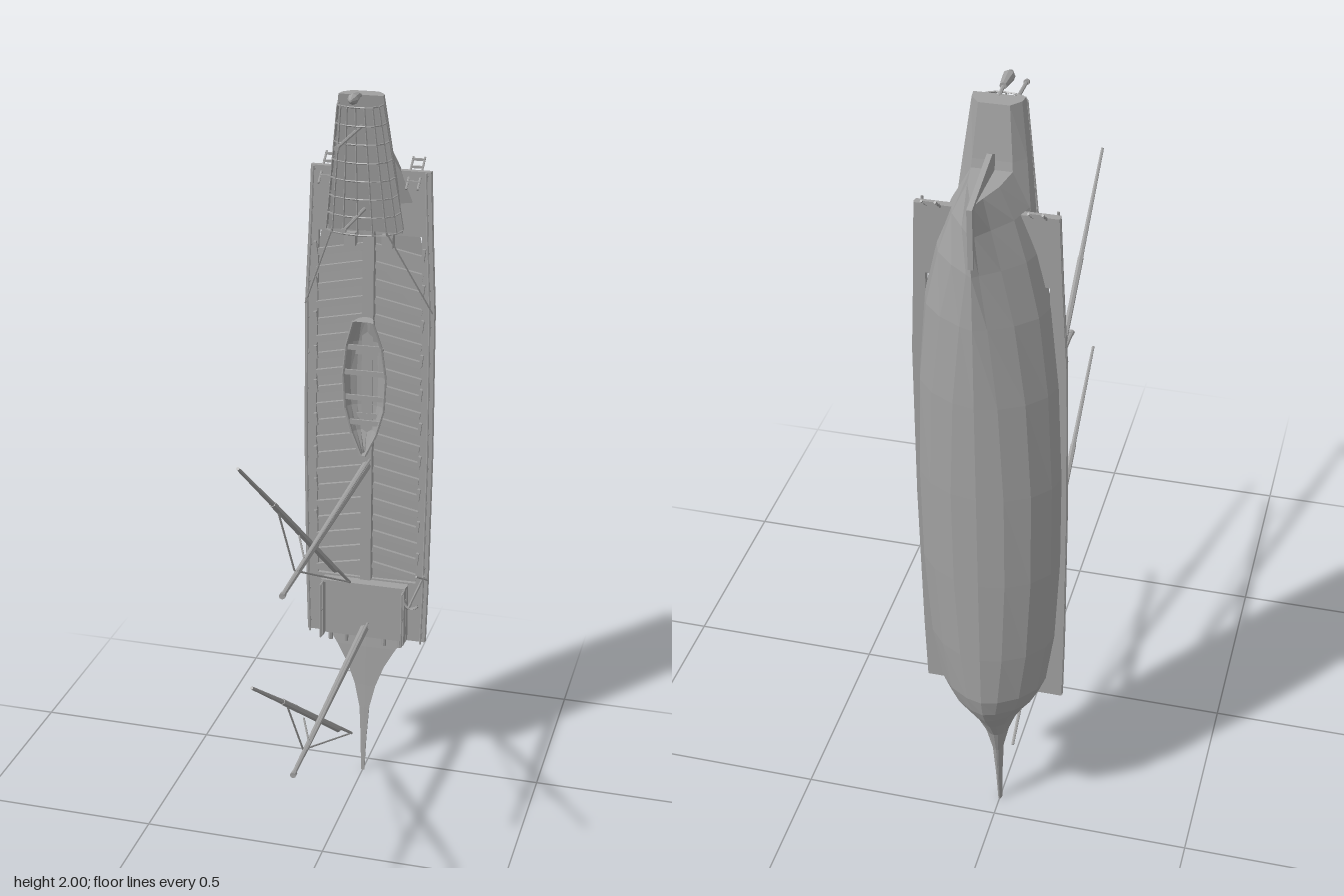
import * as THREE from 'three';

const grey = new THREE.MeshStandardMaterial({ color: 0xa0a0a0, flatShading: true, side: THREE.DoubleSide });
grey.name = 'weatheredGrey';

function add(group, geometry, name) {
  const m = new THREE.Mesh(geometry, grey);
  m.name = name;
  group.add(m);
  return m;
}

function box(group, name, w, h, d, x, y, z, tilt = 0) {
  const m = add(group, new THREE.BoxGeometry(w, h, d), name);
  m.position.set(x, y, z);
  m.rotation.z = tilt;
  return m;
}

// Round bar between two points
function rod(group, name, a, b, r0, r1 = r0, sides = 6) {
  const p = new THREE.Vector3(...a), q = new THREE.Vector3(...b);
  const d = q.clone().sub(p);
  const m = add(group, new THREE.CylinderGeometry(r1, r0, d.length(), sides), name);
  m.position.copy(p).add(q).multiplyScalar(0.5);
  m.quaternion.setFromUnitVectors(new THREE.Vector3(0, 1, 0), d.normalize());
  return m;
}

// Capped skin over equal-length rings of points; closed joins each ring end to start
function loft(rings, closed) {
  const n = rings[0].length, last = rings.length - 1, idx = [];
  const at = (i, j) => i * n + (j % n);
  for (let i = 0; i < last; i++)
    for (let j = 0; j < (closed ? n : n - 1); j++)
      idx.push(at(i, j), at(i, j + 1), at(i + 1, j), at(i + 1, j), at(i, j + 1), at(i + 1, j + 1));
  for (let j = 1; j < n - 1; j++)
    idx.push(at(0, 0), at(0, j + 1), at(0, j), at(last, 0), at(last, j), at(last, j + 1));
  const g = new THREE.BufferGeometry();
  g.setAttribute('position', new THREE.Float32BufferAttribute(rings.flat(2), 3));
  g.setIndex(idx);
  g.computeVertexNormals();
  return g;
}

// Bowl-shaped cross-section from +x rim round the keel to -x rim
function bowl([y, w, top, keel, p], steps = 8) {
  return Array.from({ length: steps + 1 }, (_, i) => {
    const t = Math.PI * i / steps, c = Math.cos(t);
    return [w * Math.sign(c) * Math.abs(c) ** p, y, top + (keel - top) * Math.sin(t)];
  });
}

function buildHull(g) {
  // y, half width, deck z, keel z, hollowness
  const rows = [
    [0, 0.005, -0.436, -0.448, 1], [0.1, 0.008, -0.441, -0.46, 1], [0.2, 0.014, -0.448, -0.472, 1],
    [0.27, 0.03, -0.455, -0.49, 1.2], [0.33, 0.052, -0.46, -0.525, 1.4], [0.39, 0.085, -0.465, -0.568, 1.5],
    [0.43, 0.112, -0.47, -0.588, 1.4], [0.48, 0.132, -0.47, -0.6, 1.3], [0.62, 0.153, -0.47, -0.602, 1.15],
    [0.85, 0.166, -0.47, -0.603, 1.05], [1.1, 0.168, -0.47, -0.603, 1.05], [1.35, 0.16, -0.47, -0.603, 1.2],
    [1.55, 0.142, -0.47, -0.602, 1.6], [1.68, 0.115, -0.46, -0.601, 2.2], [1.77, 0.085, -0.44, -0.6, 2.9],
    [1.84, 0.045, -0.425, -0.6, 3.3],
  ];
  add(g, loft(rows.map(r => [...bowl(r), [0, r[0], r[2] + r[1] * 0.03]]), true), 'hull');

  // Stern post fin
  const fin = new THREE.Shape([[0.42, 1.74], [0.603, 1.7], [0.603, 1.84], [0.44, 1.885], [0.41, 1.87]]
    .map(p => new THREE.Vector2(...p)));
  const m = add(g, new THREE.ExtrudeGeometry(fin, { depth: 0.012, bevelEnabled: false }), 'sternPost');
  m.rotation.y = Math.PI / 2;
  m.position.x = -0.006;
}

const side = [[0.17, 0.43], [0.174, 0.6], [0.178, 1.0], [0.175, 1.4], [0.165, 1.6], [0.158, 1.77]];

// Half width of the outrigger at a given height
function sideX(y) {
  const i = Math.max(1, side.findIndex(p => p[1] >= y));
  const [a, b] = [side[i - 1], side[i]];
  return a[0] + (b[0] - a[0]) * (y - a[1]) / (b[1] - a[1]);
}

function buildDeck(g) {
  // Outrigger frame along both sides
  const v = (x, y) => new THREE.Vector2(x, y);
  const frame = new THREE.Shape([...side.map(p => v(...p)), ...side.slice().reverse().map(([x, y]) => v(-x, y))]);
  frame.holes.push(new THREE.Path([v(0.14, 0.61), v(-0.14, 0.61), v(-0.146, 1.1), v(-0.138, 1.6), v(0.138, 1.6), v(0.146, 1.1)]));
  add(g, new THREE.ExtrudeGeometry(frame, { depth: 0.018, bevelEnabled: false }), 'outriggerFrame').position.z = -0.476;

  box(g, 'gangway', 0.03, 1.0, 0.022, 0, 1.11, -0.454);
  for (const s of [-1, 1]) {
    // Slanted rowing benches and oar blocks
    for (let i = 0; i < 20; i++) {
      const y = 0.64 + i * 0.048;
      box(g, 'bench', 0.13, 0.018, 0.01, s * 0.079, y, -0.461, -s * 0.2);
      if (i % 2) box(g, 'oarBlock', 0.008, 0.035, 0.012, s * 0.144, y, -0.455, -s * 0.12);
    }
    // Bulwark and rail
    for (let i = 0; i < 5; i++) {
      const [a, b] = [side[i], side[i + 1]];
      rod(g, 'sideRail', [s * (a[0] - 0.01), a[1], -0.445], [s * (b[0] - 0.01), b[1], -0.445], 0.003);
      rod(g, 'sideStrake', [s * (a[0] - 0.003), a[1], -0.468], [s * (b[0] - 0.003), b[1], -0.468], 0.005);
    }
    for (let y = 0.46; y < 1.77; y += 0.1)
      rod(g, 'railPost', [s * (sideX(y) - 0.01), y, -0.46], [s * (sideX(y) - 0.01), y, -0.445], 0.003);

    // Boarding ladders at the stern quarters
    for (const x of [0.1, 0.13]) rod(g, 'ladderSide', [s * x, 1.73, -0.43], [s * x, 1.795, -0.51], 0.003);
    for (let i = 0; i < 4; i++)
      box(g, 'ladderStep', 0.034, 0.006, 0.006, s * 0.115, 1.745 + i * 0.015, -0.448 - i * 0.0185);
    box(g, 'deckStair', 0.03, 0.035, 0.03, s * 0.05, 1.585, -0.455);
  }
}

function buildForecastle(g) {
  box(g, 'forecastleDeck', 0.24, 0.17, 0.03, 0, 0.52, -0.452);
  for (const s of [-1, 1]) {
    box(g, 'forecastleWall', 0.006, 0.17, 0.025, s * 0.116, 0.52, -0.425);
    for (const y of [0.44, 0.52, 0.6]) rod(g, 'forecastlePost', [s * 0.116, y, -0.43], [s * 0.116, y, -0.395], 0.003);
    rod(g, 'forecastleRail', [s * 0.116, 0.44, -0.397], [s * 0.116, 0.6, -0.397], 0.003);
    for (const x of [0.055, 0.1]) rod(g, 'bowGun', [s * x, 0.46, -0.448], [s * x, 0.41, -0.448], 0.008, 0.006, 8);
  }
  box(g, 'forecastleBeam', 0.24, 0.008, 0.02, 0, 0.605, -0.427);
  // Anchor on the port side
  rod(g, 'anchorShank', [0.13, 0.55, -0.42], [0.17, 0.65, -0.43], 0.004);
  rod(g, 'anchorStock', [0.155, 0.66, -0.4], [0.175, 0.63, -0.45], 0.003);
  const hook = add(g, new THREE.TorusGeometry(0.02, 0.004, 5, 10, Math.PI), 'anchorArms');
  hook.position.set(0.138, 0.57, -0.42);
  hook.rotation.z = Math.PI - 0.38;
}

function buildStern(g) {
  // Tub-shaped poop: y, half width, rim z, floor z
  const rows = [[1.62, 0.098, -0.41, -0.465], [1.75, 0.086, -0.388, -0.445], [1.86, 0.073, -0.37, -0.42], [1.98, 0.057, -0.352, -0.4]];
  add(g, loft(rows.map(([y, w, t, b]) =>
    [[w, y, t], [w * 0.95, y, (t + b) / 2], [w * 0.6, y, b], [-w * 0.6, y, b], [-w * 0.95, y, (t + b) / 2], [-w, y, t]]), true), 'poop');

  // Arched awning lattice
  const arch = (y, j) => {
    const k = (y - 1.63) / 0.33, t = Math.PI * j / 8;
    const base = -0.408 + 0.054 * k, crown = -0.33 + 0.03 * k;
    return [(0.1 - 0.043 * k) * Math.cos(t), y, base + (crown - base) * Math.abs(Math.sin(t)) ** 0.7];
  };
  for (let i = 0; i < 8; i++) {
    const y = 1.63 + i * 0.047;
    for (let j = 0; j < 8; j++) rod(g, 'awningHoop', arch(y, j), arch(y, j + 1), 0.0022, 0.0022, 4);
  }
  for (let j = 0; j < 9; j++) rod(g, 'awningStringer', arch(1.63, j), arch(1.959, j), 0.0022, 0.0022, 4);

  // Stays, poles and lantern
  for (const s of [-1, 1]) rod(g, 'awningStay', [s * 0.07, 1.64, -0.345], [s * 0.172, 1.4, -0.45], 0.0022);
  for (const [y, z0, z1] of [[1.9, -0.4, -0.12], [1.68, -0.43, -0.19]]) {
    rod(g, 'flagPole', [0, y, z0], [0, y, z1], 0.005, 0.004);
    rod(g, 'poleCap', [0, y, z1 - 0.008], [0, y, z1], 0.007);
  }
  rod(g, 'lanternBracket', [0, 1.975, -0.37], [0, 1.985, -0.32], 0.004);
  rod(g, 'lantern', [0, 1.985, -0.325], [0, 1.985, -0.275], 0.008, 0.014, 8);
  rod(g, 'lanternCap', [0, 1.985, -0.275], [0, 1.985, -0.25], 0.014, 0.003, 8);
}

function buildBoat(g) {
  const rows = [
    [1.0, 0.006, -0.402, -0.43, 1], [1.06, 0.034, -0.41, -0.445, 0.8], [1.13, 0.053, -0.412, -0.45, 0.7],
    [1.22, 0.058, -0.41, -0.45, 0.7], [1.31, 0.047, -0.403, -0.448, 0.7], [1.38, 0.026, -0.392, -0.435, 0.8],
  ];
  add(g, loft(rows.map(r => bowl(r)), false), 'boatShell');
  for (const [y, w] of [[1.09, 0.08], [1.16, 0.108], [1.23, 0.112], [1.3, 0.094]]) box(g, 'thwart', w, 0.014, 0.005, 0, y, -0.418);
  for (const s of [-1, 1]) for (let i = 0; i < 5; i++)
    rod(g, 'gunwale', [s * rows[i][1], rows[i][0], rows[i][2]], [s * rows[i + 1][1], rows[i + 1][0], rows[i + 1][2]], 0.004);
  for (const y of [1.1, 1.28]) box(g, 'boatCradle', 0.08, 0.015, 0.03, 0, y, -0.457);
}

// Mast with a slanting yard of two overlapped spars; points are [y, z]
function buildMast(g, foot, head, yardLow, yardHigh, sling, tie) {
  const at = ([y, z], x) => [x, y, z];
  const mix = (t, drop = 0) => [yardLow[0] + (yardHigh[0] - yardLow[0]) * t - drop, yardLow[1] + (yardHigh[1] - yardLow[1]) * t];
  rod(g, 'mast', at(foot, 0), at(head, 0), 0.013, 0.006, 8);
  rod(g, 'mastCap', at([head[0], head[1] - 0.012], 0), at(head, 0), 0.008, 0.008, 8);
  rod(g, 'lowerSpar', at(yardLow, -0.022), at(mix(0.74), -0.022), 0.004, 0.008);
  rod(g, 'upperSpar', at(mix(0.16, 0.008), -0.022), at(mix(0.74), -0.022), 0.008, 0.008);
  rod(g, 'yardPeak', at(mix(0.6), -0.022), at(yardHigh, -0.022), 0.008, 0.004);
  rod(g, 'yardBrace', at(sling, -0.005), at(yardLow, -0.022), 0.0025);
  rod(g, 'yardLift', at(sling, -0.005), at(mix(0.7), -0.022), 0.0025);
  rod(g, 'yardTie', at(tie, 0), at([tie[0] + 0.05, tie[1] - 0.03], -0.022), 0.0025);
  rod(g, 'stay', at([foot[0] + 0.02, foot[1]], 0.01), at(sling, 0.004), 0.003);
}

export function createModel() {
  const model = new THREE.Group();
  model.name = 'galley';
  const part = (name, build, ...args) => {
    const g = new THREE.Group();
    g.name = name;
    build(g, ...args);
    model.add(g);
  };
  part('hullBody', buildHull);
  part('deck', buildDeck);
  part('forecastle', buildForecastle);
  part('stern', buildStern);
  part('boat', buildBoat);
  part('mainMast', buildMast, [0.955, -0.465], [0.945, 0.355], [0.64, -0.36], [1.37, 0.602], [0.955, 0.233], [0.955, 0.165]);
  part('foreMast', buildMast, [0.46, -0.45], [0.405, 0.275], [0.145, -0.39], [0.79, 0.53], [0.415, 0.165], [0.42, 0.13]);
  return model;
}
